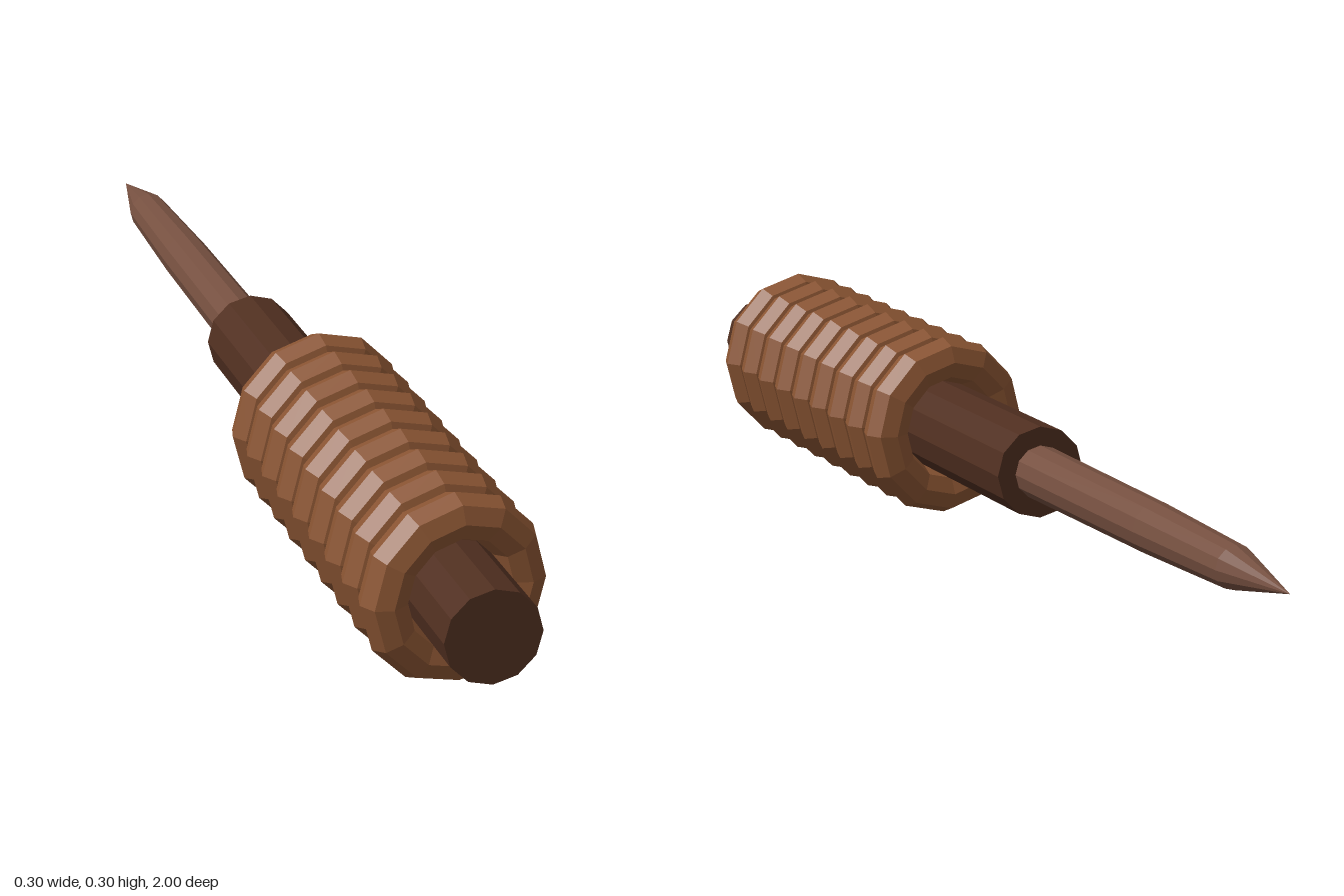
import * as THREE from 'three';

const AXIS_Y = 0.152; // height of the tool's long axis
const SIDES = 12;

// Faceted copy of a geometry, one normal per face
function faceted(geometry) {
  const flat = geometry.toNonIndexed();
  flat.computeVertexNormals();
  return flat;
}

function material(name, color) {
  const m = new THREE.MeshStandardMaterial({ color });
  m.name = name;
  return m;
}

export function createModel() {
  const model = new THREE.Group();
  model.name = 'wrappedAwl';

  const darkWood = material('darkWood', 0x502f20);
  const leather = material('leather', 0x8b5533);
  const spikeBrown = material('spikeBrown', 0x765040);

  const add = (parent, name, geometry, mat) => {
    const mesh = new THREE.Mesh(faceted(geometry), mat);
    mesh.name = name;
    parent.add(mesh);
    return mesh;
  };

  // Handle core, running from the butt at the front to the spike
  const handle = add(model, 'handle', new THREE.CylinderGeometry(0.075, 0.075, 1.19, SIDES), darkWood);
  handle.rotation.x = -Math.PI / 2;
  handle.position.set(0, AXIS_Y, 0.405);

  // Slender spike, gently tapered and then drawn to a point
  const profile = [[0, 0], [0.044, 0], [0.041, 0.4], [0.034, 0.65], [0, 0.81]]
    .map(([r, h]) => new THREE.Vector2(r, h));
  const spike = add(model, 'spike', new THREE.LatheGeometry(profile, SIDES), spikeBrown);
  spike.rotation.x = -Math.PI / 2;
  spike.position.set(0, AXIS_Y, -0.19);

  // Grip wrapping: nine slanted rings
  const grip = new THREE.Group();
  grip.name = 'gripWrapping';
  model.add(grip);
  const ring = new THREE.TorusGeometry(0.1135, 0.0375, 8, SIDES);
  for (let i = 0; i < 9; i++) {
    const wrap = add(grip, 'wrapRing' + (i + 1), ring, leather);
    wrap.rotation.y = 0.14;
    wrap.position.set(0, AXIS_Y, 0.187 + i * 0.08);
  }

  return model;
}
